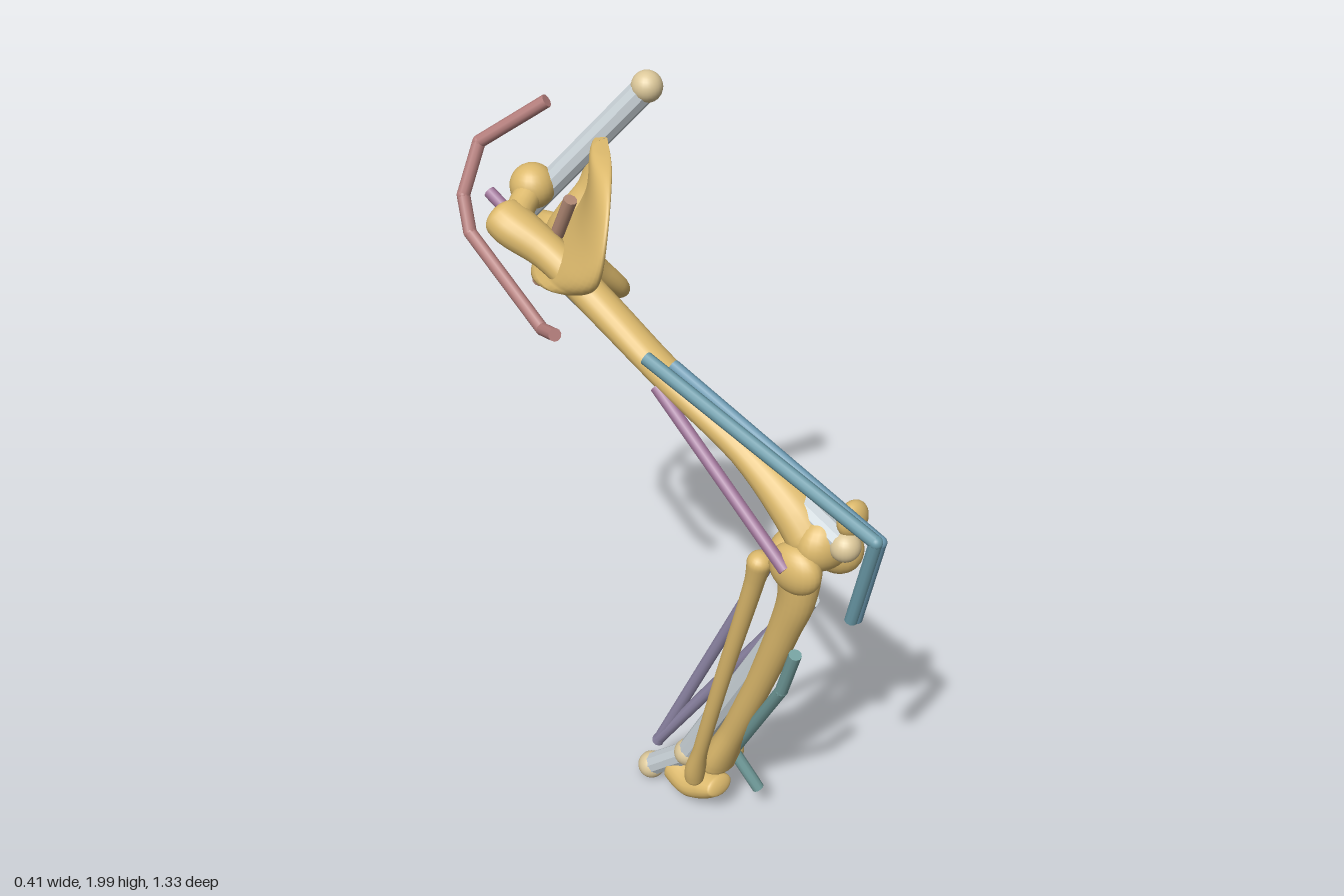
import * as THREE from 'three';

const mat = (name, color) => {
  const m = new THREE.MeshStandardMaterial({ color });
  m.name = name;
  return m;
};
const V = (p) => new THREE.Vector3(p[0], p[1], p[2]);

// Skin a list of rings (equal point counts, counterclockwise about the travel direction).
function loft(rings, closed = false) {
  const n = rings[0].length, pos = [], idx = [];
  rings.forEach((r) => r.forEach((p) => pos.push(p.x, p.y, p.z)));
  const last = closed ? rings.length : rings.length - 1;
  for (let i = 0; i < last; i++) {
    const k = (i + 1) % rings.length;
    for (let j = 0; j < n; j++) {
      const a = i * n + j, b = i * n + (j + 1) % n, c = k * n + j, d = k * n + (j + 1) % n;
      idx.push(a, b, c, b, d, c);
    }
  }
  const g = new THREE.BufferGeometry();
  g.setAttribute('position', new THREE.Float32BufferAttribute(pos, 3));
  g.setIndex(idx);
  g.computeVertexNormals();
  return g;
}

// Bone shaft: points are [x, y, z, sideRadius, depthRadius], ends rounded unless closed.
function shaft(points, closed = false) {
  const path = new THREE.CatmullRomCurve3(points.map(V), closed);
  const radii = new THREE.CatmullRomCurve3(points.map((p) => new THREE.Vector3(p[3], p[4], 0)), closed);
  const rings = [], steps = 48, sides = 20;
  const count = closed ? steps : steps + 1;
  for (let i = 0; i < count; i++) {
    const s = i / steps, t = closed ? s : 0.5 - 0.5 * Math.cos(Math.PI * s);
    const c = path.getPoint(t), T = path.getTangent(t), r = radii.getPoint(t);
    const e = Math.min(1, Math.min(t, 1 - t) / 0.07);
    const k = closed ? 1 : Math.max(0.01, Math.sqrt(1 - (1 - e) ** 2));
    const A = new THREE.Vector3(1, 0, 0).addScaledVector(T, -T.x).normalize();
    const B = T.clone().cross(A);
    const ring = [];
    for (let j = 0; j < sides; j++) {
      const a = (j / sides) * Math.PI * 2;
      ring.push(c.clone().addScaledVector(A, Math.cos(a) * r.x * k).addScaledVector(B, Math.sin(a) * r.y * k));
    }
    rings.push(ring);
  }
  return loft(rings, closed);
}

// Flared blade of the hip: rows are [y, zFront, zBack, halfThickness].
function blade() {
  const rows = [[1.5, -0.31, -0.48, 0.04], [1.55, -0.17, -0.46, 0.04], [1.6, -0.11, -0.43, 0.035],
    [1.68, -0.09, -0.385, 0.022], [1.76, -0.11, -0.37, 0.017], [1.82, -0.17, -0.37, 0.02], [1.842, -0.25, -0.34, 0.012]];
  const span = new THREE.CatmullRomCurve3(rows.map((r) => new THREE.Vector3(r[0], r[1], r[2])));
  const thick = new THREE.CatmullRomCurve3(rows.map((r) => new THREE.Vector3(r[3], 0, 0)));
  const rings = [], steps = 30, sides = 36;
  for (let i = 0; i <= steps; i++) {
    const s = span.getPoint(i / steps), th = thick.getPoint(i / steps).x;
    const k = i === 0 || i === steps ? 0.02 : 1;
    const mid = (s.y + s.z) / 2, half = ((s.y - s.z) / 2) * k;
    const flare = 0.55 + 0.3 * THREE.MathUtils.smoothstep(s.x, 1.52, 1.74);
    rings.push(Array.from({ length: sides }, (_, j) => {
      const a = (j / sides) * Math.PI * 2, z = mid + half * Math.cos(a);
      const bowl = -0.03 * (1 - Math.cos(a) ** 2);
      const x = -0.14 + flare * (-z - 0.1) + 0.25 * (s.x - 1.7) + bowl;
      return new THREE.Vector3(x + th * k * 1.3 * Math.sin(a), s.x, z);
    }));
  }
  return loft(rings);
}

export function createModel() {
  const model = new THREE.Group();
  const bone = mat('bone', 0xdcb96c);
  const joint = mat('joint ball', 0xdcc89a);
  const strutMat = mat('strut grey', 0xc8d1d6);
  strutMat.flatShading = true;
  const red = mat('hip muscle red', 0xb67f7d);
  const brown = mat('deep hip muscle brown', 0xb08874);
  const purple = mat('hamstring purple', 0xa0769a);
  const lilac = mat('calf lilac', 0x9088a8);
  const blue = mat('middle thigh blue', 0x6a98b0);
  const slate = mat('outer thigh slate blue', 0x6a9aa8);
  const teal = mat('shin teal', 0x74a09f);

  const group = (name) => {
    const g = new THREE.Group();
    g.name = name;
    model.add(g);
    return g;
  };
  const add = (parent, name, geo, m) => {
    const mesh = new THREE.Mesh(geo, m);
    mesh.name = name;
    parent.add(mesh);
    return mesh;
  };
  const lump = (parent, name, p, r, m = bone) => {
    const mesh = add(parent, name, new THREE.SphereGeometry(1, 24, 16), m);
    mesh.position.set(...p);
    mesh.scale.set(...r);
  };
  const rod = (parent, name, p, q, r, m) => {
    const a = V(p), b = V(q), d = b.clone().sub(a);
    const mesh = add(parent, name, new THREE.CylinderGeometry(r, r, d.length(), 10), m);
    mesh.position.copy(a).add(b).multiplyScalar(0.5);
    mesh.quaternion.setFromUnitVectors(new THREE.Vector3(0, 1, 0), d.normalize());
  };
  const muscle = (name, pts, m) => {
    const g = group(name), r = 0.0165;
    for (let i = 1; i < pts.length; i++) {
      rod(g, name + 'Segment', pts[i - 1], pts[i], r, m);
      if (i < pts.length - 1) lump(g, name + 'Bend', pts[i], [r, r, r], m);
    }
  };

  // Pelvis half: blade, thick rear column and the open ring below
  const pelvis = group('pelvis');
  add(pelvis, 'hipBlade', blade(), bone);
  add(pelvis, 'hipColumn', shaft([[0.075, 1.8, -0.335, 0.022, 0.03], [0.055, 1.7, -0.345, 0.03, 0.04],
    [0.02, 1.62, -0.375, 0.038, 0.052], [0.02, 1.55, -0.41, 0.044, 0.062], [0.03, 1.5, -0.43, 0.034, 0.05]]), bone);
  add(pelvis, 'hipRing', shaft([[0.03, 1.54, -0.43, 0.042, 0.062], [0.04, 1.545, -0.51, 0.038, 0.045],
    [0.07, 1.505, -0.562, 0.036, 0.046], [0.12, 1.435, -0.55, 0.03, 0.036], [0.16, 1.385, -0.47, 0.025, 0.025],
    [0.18, 1.37, -0.385, 0.024, 0.028], [0.105, 1.45, -0.385, 0.03, 0.036]], true), bone);

  // Thigh bone
  const femur = group('femur');
  add(femur, 'femurShaft', shaft([[-0.15, 1.675, -0.46, 0.05, 0.045], [-0.145, 1.65, -0.41, 0.058, 0.05],
    [-0.12, 1.6, -0.31, 0.046, 0.043], [-0.1, 1.505, -0.15, 0.045, 0.039], [-0.08, 1.395, 0.03, 0.044, 0.034],
    [-0.045, 1.27, 0.24, 0.044, 0.036], [-0.025, 1.155, 0.4, 0.066, 0.055], [-0.015, 1.08, 0.47, 0.08, 0.06]]), bone);
  add(femur, 'femurNeck', shaft([[-0.14, 1.65, -0.41, 0.04, 0.045], [-0.09, 1.675, -0.435, 0.034, 0.036],
    [-0.035, 1.7, -0.455, 0.036, 0.036]]), bone);
  lump(femur, 'femurHead', [-0.035, 1.7, -0.457], [0.056, 0.056, 0.056]);
  lump(femur, 'innerCondyle', [0.052, 1.045, 0.456], [0.056, 0.07, 0.075]);
  lump(femur, 'outerCondyle', [-0.085, 1.045, 0.45], [0.045, 0.064, 0.072]);
  lump(femur, 'kneeGroove', [-0.01, 1.1, 0.475], [0.085, 0.072, 0.06]);
  lump(model, 'kneecap', [0.008, 1.18, 0.535], [0.045, 0.046, 0.03]);

  // Shin bones
  const shin = group('shin');
  add(shin, 'tibia', shaft([[0, 1.085, 0.37, 0.085, 0.05], [0, 1.01, 0.39, 0.064, 0.055],
    [-0.005, 0.9, 0.395, 0.046, 0.05], [-0.005, 0.78, 0.36, 0.039, 0.042], [0, 0.58, 0.288, 0.036, 0.037],
    [0.005, 0.36, 0.2, 0.035, 0.035], [0.015, 0.22, 0.14, 0.058, 0.042], [0.018, 0.17, 0.122, 0.06, 0.042]]), bone);
  lump(shin, 'innerAnkle', [0.062, 0.205, 0.13], [0.033, 0.048, 0.04]);
  add(shin, 'fibula', shaft([[-0.1, 1.05, 0.36, 0.036, 0.034], [-0.1, 0.96, 0.34, 0.026, 0.024],
    [-0.09, 0.6, 0.235, 0.02, 0.021], [-0.07, 0.3, 0.145, 0.02, 0.02], [-0.055, 0.19, 0.11, 0.03, 0.027],
    [-0.05, 0.135, 0.1, 0.024, 0.024]]), bone);

  // Ankle bones
  const foot = group('ankleBones');
  add(foot, 'talus', shaft([[0, 0.12, 0.155, 0.04, 0.024], [0.003, 0.1, 0.11, 0.052, 0.04],
    [0.006, 0.078, 0.05, 0.06, 0.046], [0.015, 0.085, -0.03, 0.052, 0.05]]), bone);
  lump(foot, 'heelInner', [0.03, 0.085, -0.002], [0.04, 0.055, 0.033]);

  // Linkage of grey struts and joint balls; the shank strut emerges from the tibia
  const linkage = group('linkage');
  const hip = [-0.06, 1.585, -0.52], knee = [-0.02, 1.12, 0.54], ankle = [0, 0.165, 0.03];
  const top = [0.14, 1.96, -0.24], toe = [-0.01, 0.045, -0.1];
  [top, hip, knee, ankle, toe].forEach((p) => lump(linkage, 'jointBall', p, [0.038, 0.038, 0.038], joint));
  [[top, hip], [hip, knee], [[0.012, 0.89, 0.412], ankle], [ankle, toe]]
    .forEach(([p, q]) => rod(linkage, 'strut', p, q, 0.032, strutMat));

  // Muscle lines
  muscle('hipMuscle', [[0.02, 1.9, -0.455], [-0.07, 1.78, -0.605], [-0.13, 1.66, -0.605],
    [-0.15, 1.58, -0.565], [-0.13, 1.39, -0.34], [-0.165, 1.42, -0.255]], red);
  muscle('deepHipMuscle', [[-0.085, 1.74, -0.27], [-0.08, 1.48, -0.4]], brown);
  muscle('longHamstring', [[-0.005, 1.61, -0.655], [0.015, 1.07, 0.42]], purple);
  muscle('shortHamstring', [[-0.11, 1.37, 0.03], [-0.122, 1.06, 0.45]], purple);
  muscle('outerThighMuscle', [[-0.13, 1.45, 0.015], [-0.046, 1.195, 0.645], [-0.032, 0.935, 0.58]], slate);
  muscle('middleThighMuscle', [[-0.075, 1.42, 0.05], [-0.034, 1.19, 0.647], [-0.02, 0.935, 0.584]], blue);
  muscle('calfMuscle', [[0.015, 1.195, 0.455], [0.012, 1.05, 0.345], [0, 0.135, -0.085]], lilac);
  muscle('deepCalfMuscle', [[0.015, 0.885, 0.408], [0, 0.14, -0.085]], lilac);
  muscle('shinMuscle', [[-0.065, 0.775, 0.445], [-0.045, 0.62, 0.39], [0.045, 0.22, 0.155], [0.08, 0.1, 0.218]], teal);

  return model;
}
